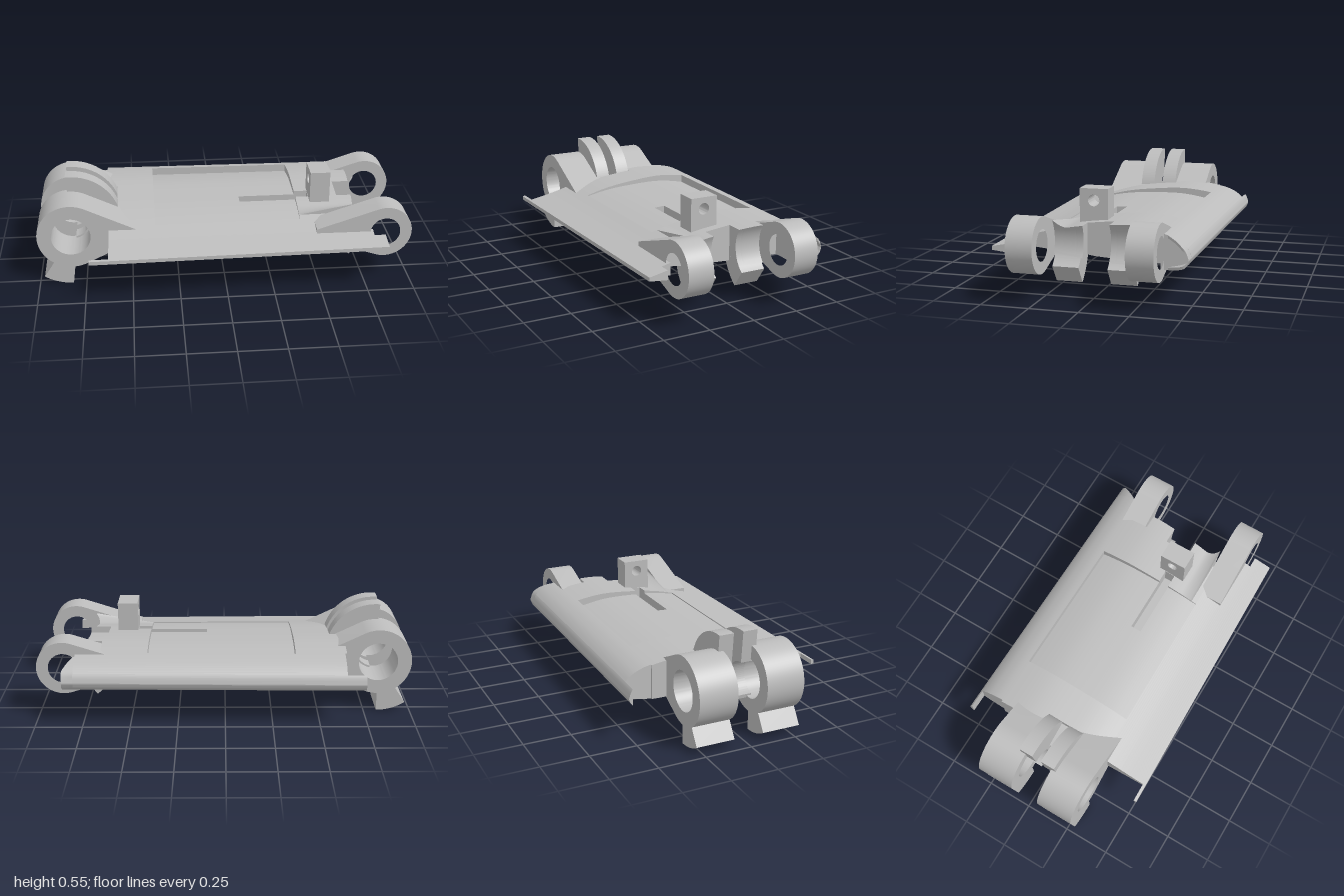
import * as THREE from 'three';
import { mergeGeometries, toCreasedNormals } from 'three/addons/utils/BufferGeometryUtils.js';

const grey = new THREE.MeshStandardMaterial({ color: 0xbcbcbc });
grey.name = 'machined grey';

const clamp = THREE.MathUtils.clamp;
const BIG = [-0.82, 0.28], SMALL = [0.855, 0.28]; // eye centres (x, y)

// Wing-like plate section: height of the upper and lower skin for a given z
function skin(pairs) {
  const pts = new THREE.SplineCurve(pairs.map(p => new THREE.Vector2(p[0], p[1]))).getPoints(300);
  return z => {
    let i = 1;
    while (i < pts.length - 1 && pts[i].x < z) i++;
    const a = pts[i - 1], b = pts[i];
    return a.y + (b.y - a.y) * clamp((z - a.x) / (b.x - a.x), 0, 1);
  };
}
const top = skin([[-0.53, 0.25], [-0.52, 0.28], [-0.5, 0.305], [-0.45, 0.337], [-0.37, 0.361],
  [-0.2, 0.379], [0, 0.366], [0.16, 0.343], [0.37, 0.29], [0.525, 0.26]]);
const bottom = skin([[-0.53, 0.245], [-0.52, 0.22], [-0.5, 0.205], [-0.45, 0.19], [-0.37, 0.179],
  [-0.2, 0.178], [0, 0.187], [0.1, 0.198], [0.37, 0.225], [0.525, 0.24]]);
const pocketFloor = z => top(z) - 0.006 - 0.036 * (0.26 - z) / 0.63;
// Upper skin sweeping up into the front small arm
const fillet = (z, x) => {
  const s = clamp((z - 0.15) / 0.08, 0, 1);
  return top(z) + Math.max(0, 0.315 + 0.31 * (x - 0.485) - top(0.23)) * s * s;
};
// Concave plate end, concentric with the small eyes
const bowl = y => SMALL[0] - Math.sqrt(0.155 ** 2 - (y - SMALL[1]) ** 2);

// Box bent to follow the skins, narrowing slightly towards +x; x1 may be a rule of (y, z)
function slab(x0, x1, z0, z1, up = top, low = bottom) {
  const curved = typeof x1 === 'function';
  const g = new THREE.BoxGeometry(1, 1, 1, 1, curved ? 10 : 1, Math.max(4, Math.ceil((z1 - z0) / 0.012)));
  const p = g.attributes.position;
  for (let i = 0; i < p.count; i++) {
    const z = z0 + (z1 - z0) * (p.getZ(i) + 0.5);
    const right = p.getX(i) > 0;
    const xAt = y => (!right ? x0 : curved ? x1(y, z) : x1);
    const t = p.getY(i) + 0.5;
    const guess = xAt(low(z) + (top(z) - low(z)) * t);
    const y = low(z) + (up(z, guess) - low(z)) * t;
    const x = xAt(y);
    p.setXYZ(i, x, y, z * (1 - 0.035 * (x + 0.73)));
  }
  g.computeVertexNormals();
  return g;
}

function extrude(shape, z0, z1) {
  const g = new THREE.ExtrudeGeometry(shape, { depth: z1 - z0, bevelEnabled: false, curveSegments: 40 });
  g.translate(0, 0, z0);
  return toCreasedNormals(g, 0.5);
}

// Ring segment, angles in degrees
function sector([cx, cy], r0, r1, a0, a1) {
  const s = new THREE.Shape(), d = Math.PI / 180;
  s.absarc(cx, cy, r1, a0 * d, a1 * d, false);
  s.absarc(cx, cy, r0, a1 * d, a0 * d, true);
  s.closePath();
  return s;
}

// Round eye with a tapering arm that runs into the plate; dir is the arm direction
function eyeArm([cx, cy], r, bore, tangent, reach, dir) {
  const s = new THREE.Shape(), t = tangent * Math.PI / 180;
  const n = 48;
  for (let i = 0; i <= n; i++) {
    const a = t + (2 * Math.PI - 2 * t) * i / n;
    const x = cx + dir * r * Math.cos(a), y = cy + r * Math.sin(a);
    i ? s.lineTo(x, y) : s.moveTo(x, y);
  }
  s.lineTo(cx + dir * reach, cy - 0.03);
  s.lineTo(cx + dir * reach, cy + 0.03);
  s.closePath();
  const hole = new THREE.Path();
  hole.absarc(cx, cy, bore, 0, Math.PI * 2, true);
  s.holes.push(hole);
  return s;
}

export function createModel() {
  const group = new THREE.Group();
  const add = (name, geometry) => {
    const m = new THREE.Mesh(geometry, grey);
    m.name = name;
    group.add(m);
  };

  // Plate strips: z from, z to, left end, right end, crosses the pocket
  const strips = [
    [-0.53, -0.51, -0.73, 0.79], [-0.51, -0.37, -0.63, 0.79],
    [-0.37, -0.29, -0.64, 0.66, 1], [-0.29, -0.23, -0.62, 0.66, 1],
    [-0.23, -0.11, -0.62, bowl, 1], [-0.11, -0.08, -0.57, bowl, 1],
    [-0.08, 0.01, -0.57, 0.64, 1], [0.07, 0.11, -0.57, bowl, 1],
    [0.11, 0.23, -0.62, bowl, 1], [0.23, 0.26, -0.62, 0.66, 1],
    [0.26, 0.37, -0.62, 0.66], [0.37, 0.42, -0.62, 0.79],
    [0.42, 0.51, -0.62, 0.85], [0.51, 0.525, -0.72, 0.85],
  ];
  const parts = [];
  for (const [z0, z1, xl, xr, pocket] of strips) {
    if (pocket) {
      parts.push(slab(xl, -0.37, z0, z1), slab(-0.37, 0.41, z0, z1, pocketFloor),
        slab(0.41, xr, z0, z1, xr === bowl ? fillet : top));
    } else parts.push(slab(xl, xr, z0, z1));
  }
  // Strip with the narrow slot
  parts.push(slab(-0.57, -0.37, 0.01, 0.07), slab(-0.37, 0.10, 0.01, 0.07, pocketFloor),
    slab(0.10, 0.48, 0.01, 0.07, () => 0.27), slab(0.48, 0.64, 0.01, 0.07));
  // Thin lip around the rounded edge at the right end, cut at a slant
  const lip = z => Math.min(0.014, (top(z) - bottom(z)) / 2);
  const slant = (y, z) => Math.min(0.85, 0.85 - (z + 0.5) * 0.6);
  parts.push(slab(0.79, slant, -0.53, -0.41, top, z => top(z) - lip(z)),
    slab(0.79, slant, -0.53, -0.41, z => bottom(z) + lip(z), bottom));
  add('plate', mergeGeometries(parts));

  // Mirrored eyes, stops and curved fins
  const pair = (name, shape, z0, z1) => {
    add(name + 'Front', extrude(shape, z0, z1));
    add(name + 'Back', extrude(shape, -z1, -z0));
  };
  pair('largeEye', eyeArm(BIG, 0.18, 0.105, 65, 0.35, 1), 0.08, 0.287);
  pair('smallEye', eyeArm(SMALL, 0.143, 0.08, 73, 0.37, -1), 0.23, 0.367);
  pair('largeEyeStop', sector(BIG, 0.165, 0.28, 237, 270), 0.08, 0.287);
  pair('smallEyeStop', sector(SMALL, 0.155, 0.265, 200, 234), 0.075, 0.212);
  pair('curvedFin', sector(BIG, 0.095, 0.265, -5, 95), 0.026, 0.105);
  pair('finHook', sector(BIG, 0.095, 0.115, -80, 0), 0.026, 0.105);
  add('finBridge', extrude(sector(BIG, 0.12, 0.255, -15, 15), -0.1, 0.1));

  // Upright block with a cross hole
  const face = new THREE.Shape();
  face.moveTo(-0.122, 0.255);
  face.lineTo(0.027, 0.255);
  face.lineTo(0.027, 0.525);
  face.lineTo(-0.122, 0.525);
  face.closePath();
  const hole = new THREE.Path();
  hole.absarc(-0.048, 0.464, 0.03, 0, Math.PI * 2, true);
  face.holes.push(hole);
  const block = extrude(face, 0.482, 0.59);
  block.rotateY(Math.PI / 2);
  add('uprightBlock', block);

  return group;
}
